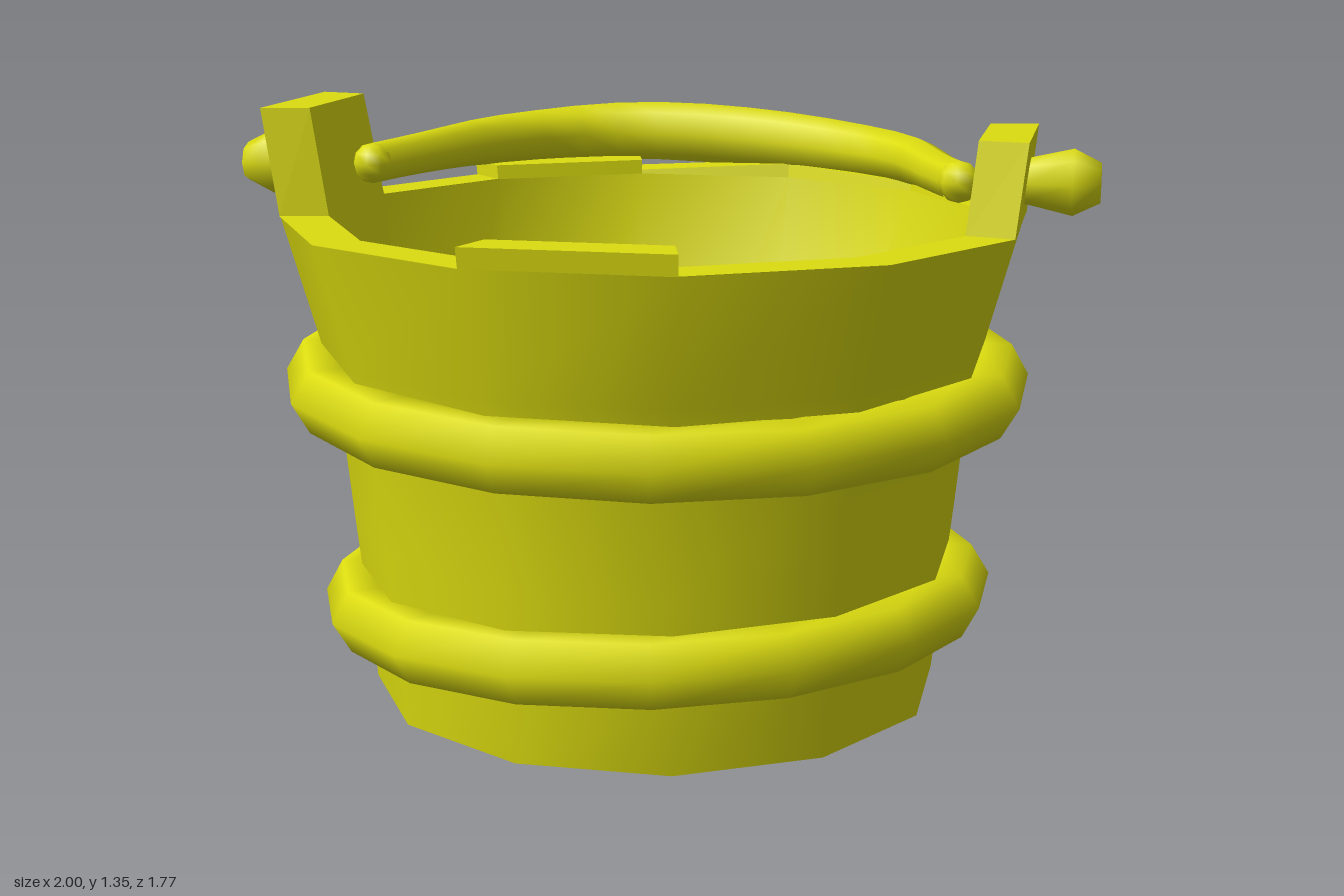
import * as THREE from 'three';

const SIDES = 12, CZ = 0.03, RIM = 1.105;
const K = 1 / Math.cos(Math.PI / SIDES); // flat-side distance to corner radius

// Corner of the twelve-sided plan: r is the distance to a flat side
function corner(r, y, k) {
  const a = (k - 0.5) * Math.PI * 2 / SIDES;
  return [Math.sin(a) * r * K, y, Math.cos(a) * r * K + CZ];
}

// Smooth surface through rings [r, y], with an optional cap on the last ring
function shell(rings, { cap = false, flip = false } = {}) {
  const pos = [], index = [];
  const tri = (a, b, c) => index.push(...(flip ? [a, c, b] : [a, b, c]));
  rings.forEach(([r, y], i) => {
    for (let k = 0; k < SIDES; k++) {
      pos.push(...corner(r, y, k));
      if (i === rings.length - 1) continue;
      const n = (k + 1) % SIDES, lo = i * SIDES, hi = lo + SIDES;
      tri(lo + k, lo + n, hi + n);
      tri(lo + k, hi + n, hi + k);
    }
  });
  if (cap) {
    const s = (rings.length - 1) * SIDES;
    for (let k = 1; k < SIDES - 1; k++) tri(s, s + k, s + k + 1);
  }
  const g = new THREE.BufferGeometry();
  g.setAttribute('position', new THREE.Float32BufferAttribute(pos, 3));
  g.setIndex(index);
  g.computeVertexNormals();
  return g;
}

// Top of one stave above the rim, with its own height at either edge
function staveTop(k, h0, h1, lean = 0.15) {
  const pt = (r, h, j) => corner(r + (h - RIM) * lean, h, j);
  const inset = h0 > 1.3 ? 0.05 : 0; // the tall ears narrow slightly
  const ring = r => [pt(r, RIM, k), pt(r, RIM, k + 1), pt(r, h1, k + 1 - inset), pt(r, h0, k + inset)];
  const o = ring(0.83), i = ring(0.722);
  const pos = [];
  const quad = (a, b, c, d) => pos.push(...a, ...b, ...c, ...a, ...c, ...d);
  quad(o[0], o[1], o[2], o[3]); // outside
  quad(i[1], i[0], i[3], i[2]); // inside
  quad(o[3], o[2], i[2], i[3]); // top
  quad(i[0], o[0], o[3], i[3]); // edges
  quad(o[1], i[1], i[2], o[2]);
  const g = new THREE.BufferGeometry();
  g.setAttribute('position', new THREE.Float32BufferAttribute(pos, 3));
  g.computeVertexNormals();
  return g;
}

export function createModel() {
  const model = new THREE.Group();
  const paint = new THREE.MeshStandardMaterial({ color: 0xdcdc10 });
  paint.name = 'yellow';
  const add = (name, geometry) => {
    const m = new THREE.Mesh(geometry, paint);
    m.name = name;
    model.add(m);
    return m;
  };

  // Bucket body
  add('outerWall', shell([[0.642, 0], [0.66, 0.17], [0.685, 0.4], [0.71, 0.65], [0.75, 0.82], [0.828, RIM]]));
  add('innerWallAndFloor', shell([[0.722, RIM], [0.55, 0.17]], { cap: true }));
  add('bottomRim', shell([[0.575, 0], [0.642, 0]]));
  add('underside', shell([[0.575, 0], [0.56, 0.09]], { cap: true, flip: true }));

  // Uneven stave tops; the tall ones at the sides are the handle ears
  const heights = {
    0: [1.15, 1.15], 3: [1.31, 1.31, 0.08], 4: [1.108, 1.125], 5: [1.125, 1.14],
    6: [1.14, 1.115], 7: [1.14, 1.14], 9: [1.35, 1.35],
  };
  for (let k = 0; k < SIDES; k++) {
    const h = heights[k] ?? [RIM + 0.001, RIM + 0.001];
    add(h[0] > 1.3 ? 'handleEar' : 'staveTop', staveTop(k, ...h));
  }

  // Tilted hoops
  for (const [name, r, y, tiltX, tiltZ] of [
    ['upperHoop', 0.782, 0.738, 0.028, -0.01],
    ['lowerHoop', 0.706, 0.228, -0.028, 0.036],
  ]) {
    const hoop = add(name, new THREE.TorusGeometry(r, 0.081, 6, 16).rotateX(Math.PI / 2).rotateY(Math.PI / 16));
    hoop.position.set(0.003, y, 0.038);
    hoop.rotation.set(tiltX, 0, tiltZ);
  }

  // Handle, thickest in the middle
  const path = new THREE.CatmullRomCurve3([
    [-0.695, 1.2, -0.01], [-0.645, 1.2, -0.25], [-0.57, 1.2, -0.52], [-0.46, 1.2, -0.68],
    [-0.3, 1.205, -0.785], [-0.12, 1.205, -0.805], [0.14, 1.195, -0.765], [0.4, 1.182, -0.645],
    [0.53, 1.18, -0.505], [0.61, 1.18, -0.28], [0.685, 1.19, -0.03],
  ].map(p => new THREE.Vector3(...p)));
  const STEPS = 20, RAD = 8;
  const handle = new THREE.TubeGeometry(path, STEPS, 0.048, RAD);
  const p = handle.attributes.position, v = new THREE.Vector3();
  for (let i = 0; i <= STEPS; i++) {
    const c = path.getPointAt(i / STEPS);
    const s = 1 + 0.6 * Math.sin(Math.PI * i / STEPS) ** 2;
    for (let j = 0; j <= RAD; j++) {
      const n = i * (RAD + 1) + j;
      v.fromBufferAttribute(p, n).sub(c).multiplyScalar(s).add(c);
      p.setXYZ(n, v.x, v.y, v.z);
    }
  }
  add('handle', handle);

  // Handle ends and the pins on the ears
  const pin = [[0, -0.04], [0.05, -0.04], [0.052, 0], [0.075, 0.1], [0.045, 0.16], [0, 0.16]]
    .map(q => new THREE.Vector2(...q));
  for (const side of [-1, 1]) {
    add('handleEnd', new THREE.SphereGeometry(0.048, 8, 6)).position.copy(path.getPointAt(side < 0 ? 0 : 1));
    const knob = add('handlePin', new THREE.LatheGeometry(pin, 8));
    knob.rotation.z = -side * Math.PI / 2;
    knob.position.set(side * 0.84, 1.2, 0.005);
  }
  return model;
}
